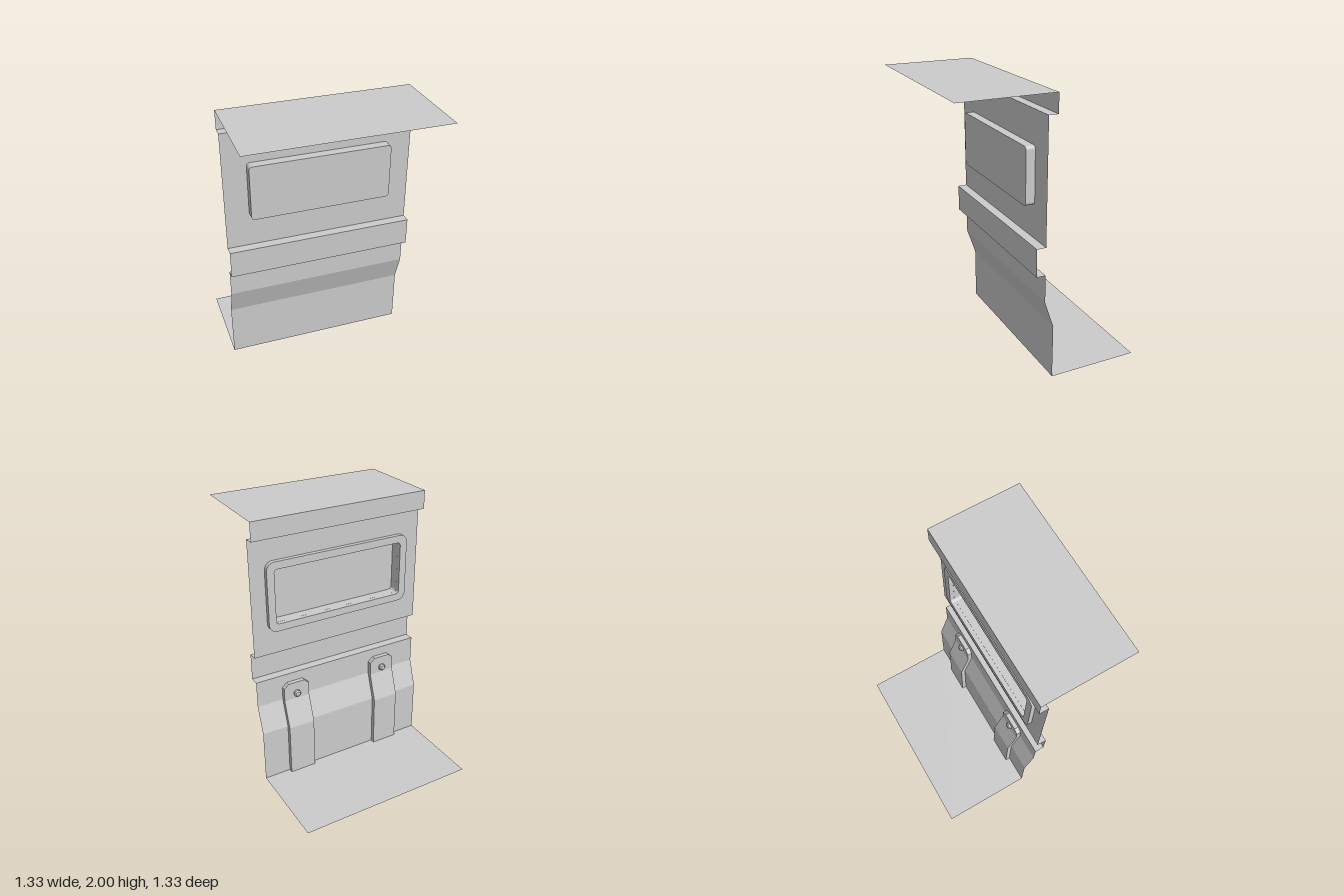
import * as THREE from 'three';

const W = 1.333;   // sheet width
const D = 0.667;   // depth of the flanges
const T = 0.033;   // strap and frame thickness
const FRONT = 0.067, RAISED = 0.133; // z of the panel and of the raised parts

const solid = new THREE.MeshStandardMaterial({ color: 0xcccccc, flatShading: true });
const sheet = new THREE.MeshStandardMaterial({ color: 0xcccccc, flatShading: true, side: THREE.DoubleSide });

function add(parent, name, geometry, material) {
  const mesh = new THREE.Mesh(geometry, material);
  mesh.name = name;
  parent.add(mesh);
  return mesh;
}

// Flat strip across the full width between two profile points [z, y]
function strip(parent, name, [z0, y0], [z1, y1]) {
  const h = W / 2;
  const g = new THREE.BufferGeometry();
  g.setAttribute('position', new THREE.Float32BufferAttribute(
    [-h, y0, z0, h, y0, z0, h, y1, z1, -h, y1, z1], 3));
  g.setIndex([0, 1, 2, 0, 2, 3]);
  g.computeVertexNormals();
  add(parent, name, g, sheet);
}

// Rectangle with rounded corners, drawn on a Shape or a Path
function roundedRect(target, x, y0, y1, r) {
  target.moveTo(-x + r, y0);
  target.lineTo(x - r, y0);
  target.absarc(x - r, y0 + r, r, -Math.PI / 2, 0);
  target.lineTo(x, y1 - r);
  target.absarc(x - r, y1 - r, r, 0, Math.PI / 2);
  target.lineTo(-x + r, y1);
  target.absarc(-x + r, y1 - r, r, Math.PI / 2, Math.PI);
  target.lineTo(-x, y0 + r);
  target.absarc(-x + r, y0 + r, r, Math.PI, Math.PI * 1.5);
  return target;
}
const pocketOutline = (target) => roundedRect(target, 0.5, 1.235, 1.635, 0.025);

// Open wall following an outline from z0 to z1
function wallGeometry(points, z0, z1) {
  const pos = [], index = [];
  points.forEach((p) => pos.push(p.x, p.y, z0, p.x, p.y, z1));
  for (let i = 0; i < points.length; i++) {
    const a = 2 * i, b = 2 * ((i + 1) % points.length);
    index.push(a, b, b + 1, a, b + 1, a + 1);
  }
  const g = new THREE.BufferGeometry();
  g.setAttribute('position', new THREE.Float32BufferAttribute(pos, 3));
  g.setIndex(index);
  g.computeVertexNormals();
  return g;
}

// Strap following the bend of the sheet, with clipped top corners
function strapGeometry() {
  const cols = [-0.1, -0.063, 0.063, 0.1];
  const zAt = [0, 0, FRONT, FRONT];
  const g = new THREE.BoxGeometry(3, 3, 1, 3, 3, 1);
  const p = g.attributes.position;
  for (let i = 0; i < p.count; i++) {
    const c = Math.round(p.getX(i) + 1.5), r = Math.round(p.getY(i) + 1.5);
    const top = c === 0 || c === 3 ? 0.7 : 0.733;
    const z = zAt[r] - (p.getZ(i) > 0 ? 0.0005 : T);
    p.setXYZ(i, cols[c], [0, 0.4, 0.6, top][r], z);
  }
  const flat = g.toNonIndexed();
  flat.computeVertexNormals();
  return flat;
}

export function createModel() {
  const model = new THREE.Group();
  model.name = 'pressedPanel';

  // Folded sheet, bottom to top
  const folded = new THREE.Group();
  folded.name = 'foldedSheet';
  model.add(folded);
  const lower = [[-D, 0], [0, 0], [0, 0.4], [FRONT, 0.6], [FRONT, 0.8],
    [RAISED, 0.8], [RAISED, 1], [FRONT, 1]];
  const lowerNames = ['bottomFlange', 'lowerPanel', 'slopedPanel', 'middlePanel',
    'ribUnderside', 'ribFace', 'ribTop'];
  lowerNames.forEach((n, i) => strip(folded, n, lower[i], lower[i + 1]));
  const upper = [[FRONT, 1.867], [0, 1.867], [0, 2], [D, 2]];
  ['topStep', 'topBand', 'topFlange'].forEach((n, i) => strip(folded, n, upper[i], upper[i + 1]));

  // Upper panel with the pocket opening
  const panel = new THREE.Shape([[-1, 1], [1, 1], [1, 1.867], [-1, 1.867]]
    .map(([s, y]) => new THREE.Vector2(s * W / 2, y)));
  panel.holes.push(pocketOutline(new THREE.Path()));
  add(folded, 'upperPanel', new THREE.ShapeGeometry(panel, 4), sheet).position.z = FRONT;

  // Pocket pushed out to the front
  const pocket = new THREE.Group();
  pocket.name = 'pocket';
  model.add(pocket);
  const outline = pocketOutline(new THREE.Shape());
  const points = outline.extractPoints(4).shape;
  if (points[0].distanceTo(points[points.length - 1]) < 1e-5) points.pop();
  add(pocket, 'pocketWall', wallGeometry(points, FRONT, RAISED), sheet);
  add(pocket, 'pocketFace', new THREE.ShapeGeometry(outline, 4), sheet).position.z = RAISED;

  // Frame around the opening on the back
  const frame = roundedRect(new THREE.Shape(), 0.555, 1.18, 1.69, 0.06);
  frame.holes.push(pocketOutline(new THREE.Path()));
  add(pocket, 'pocketFrame', new THREE.ExtrudeGeometry(frame,
    { depth: T - 0.0005, bevelEnabled: false, curveSegments: 4 }), solid).position.z = FRONT - T;

  // Straps and their bolts on the back
  for (const [side, s] of [['left', 1], ['right', -1]]) {
    const strap = new THREE.Group();
    strap.name = side + 'Strap';
    strap.position.x = s * 0.367;
    model.add(strap);
    add(strap, side + 'StrapPlate', strapGeometry(), solid);
    const profile = [[0.027, 0], [0.027, 0.014], [0.018, 0.022], [0, 0.022]]
      .map(([r, h]) => new THREE.Vector2(r, h));
    const bolt = add(strap, side + 'Bolt', new THREE.LatheGeometry(profile, 8), solid);
    bolt.rotation.x = -Math.PI / 2;
    bolt.position.set(0, 0.643, FRONT - T);
  }
  return model;
}
